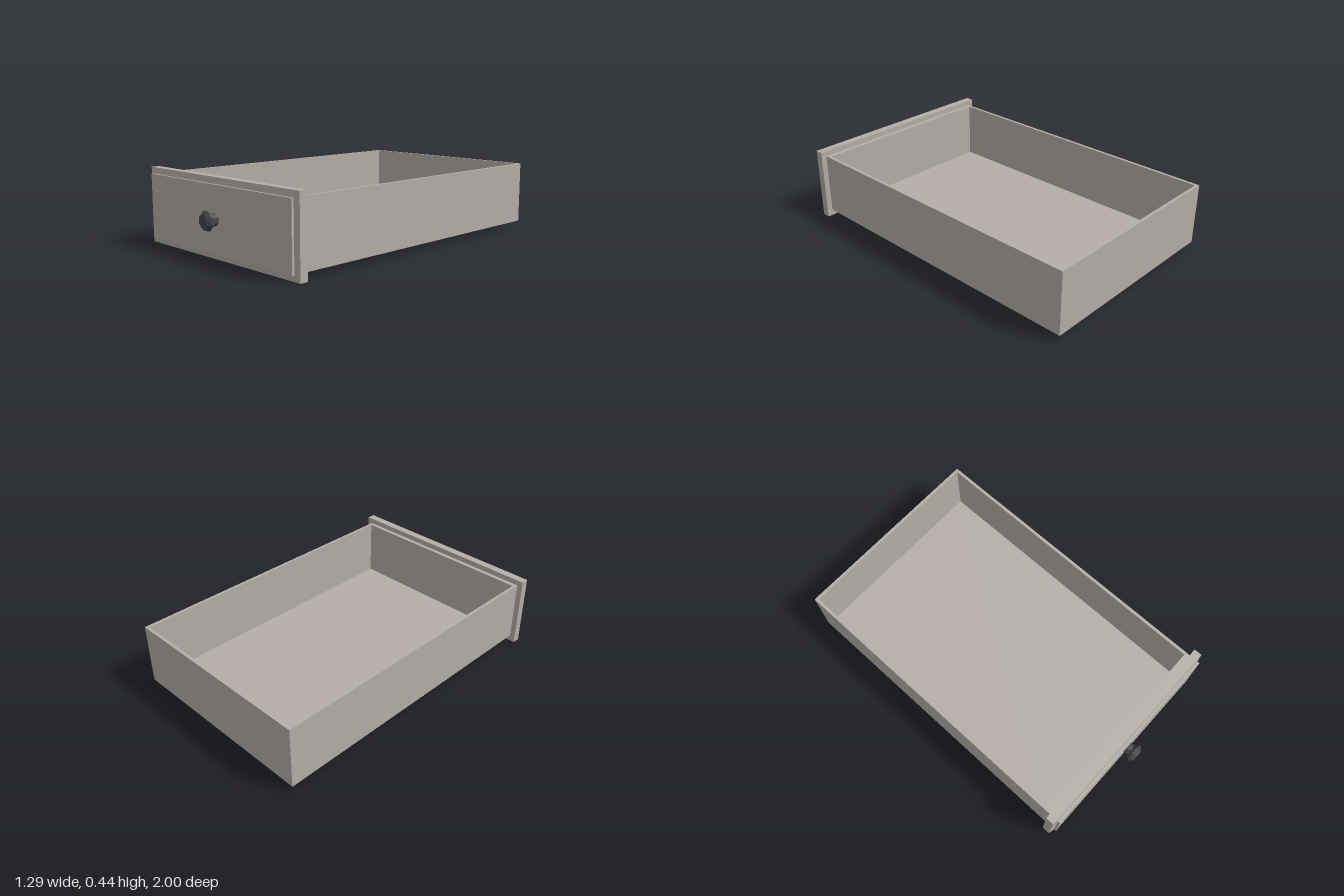
import * as THREE from 'three';

const wood = new THREE.MeshStandardMaterial({ color: 0xb5aea7 });
wood.name = 'greigePaint';
const iron = new THREE.MeshStandardMaterial({ color: 0x444444, flatShading: true });
iron.name = 'darkIron';

const CY = 0.22; // height of the front's centre

function add(group, name, geometry, material, x, y, z) {
  const mesh = new THREE.Mesh(geometry, material);
  mesh.name = name;
  mesh.position.set(x, y, z);
  group.add(mesh);
  return mesh;
}

// Rectangle outline given by its edges
function rect(PathType, x, z0, z1) {
  return new PathType([[-x, z0], [x, z0], [x, z1], [-x, z1]].map(p => new THREE.Vector2(...p)));
}

export function createModel() {
  const drawer = new THREE.Group();
  drawer.name = 'drawer';

  // Four thin walls as one ring, extruded upwards (shape y becomes -z)
  const ring = rect(THREE.Shape, 0.61, -0.856, 1);
  ring.holes.push(rect(THREE.Path, 0.592, -0.83, 0.982));
  const walls = new THREE.ExtrudeGeometry(ring, { depth: 0.37, bevelEnabled: false });
  walls.rotateX(-Math.PI / 2);
  add(drawer, 'trayWalls', walls, wood, 0, 0.037, 0);

  // Bottom board, flush with the underside of the walls
  add(drawer, 'trayFloor', new THREE.BoxGeometry(1.184, 0.018, 1.812), wood, 0, 0.046, -0.076);

  // Front board, its shallow mitred bevel and the raised panel
  add(drawer, 'frontBoard', new THREE.BoxGeometry(1.286, 0.44, 0.048), wood, 0, CY, 0.88);
  const bevel = new THREE.BoxGeometry(1.286, 0.44, 0.008);
  const pos = bevel.attributes.position;
  for (let i = 0; i < pos.count; i++) {
    if (pos.getZ(i) > 0) pos.setXY(i, Math.sign(pos.getX(i)) * 0.61, Math.sign(pos.getY(i)) * 0.185);
  }
  bevel.computeVertexNormals();
  add(drawer, 'frontBevel', bevel, wood, 0, CY, 0.908);
  add(drawer, 'frontPanel', new THREE.BoxGeometry(1.22, 0.37, 0.015), wood, 0, CY, 0.9185);

  // Eight-sided knob, turned about the z axis
  const profile = [[0.036, 0], [0.036, 0.03], [0.045, 0.036], [0.056, 0.044],
    [0.056, 0.056], [0.037, 0.075], [0, 0.075]].map(p => new THREE.Vector2(...p));
  const knob = new THREE.LatheGeometry(profile, 8, Math.PI / 8);
  knob.rotateX(Math.PI / 2);
  add(drawer, 'knob', knob, iron, 0, CY, 0.925);

  return drawer;
}
